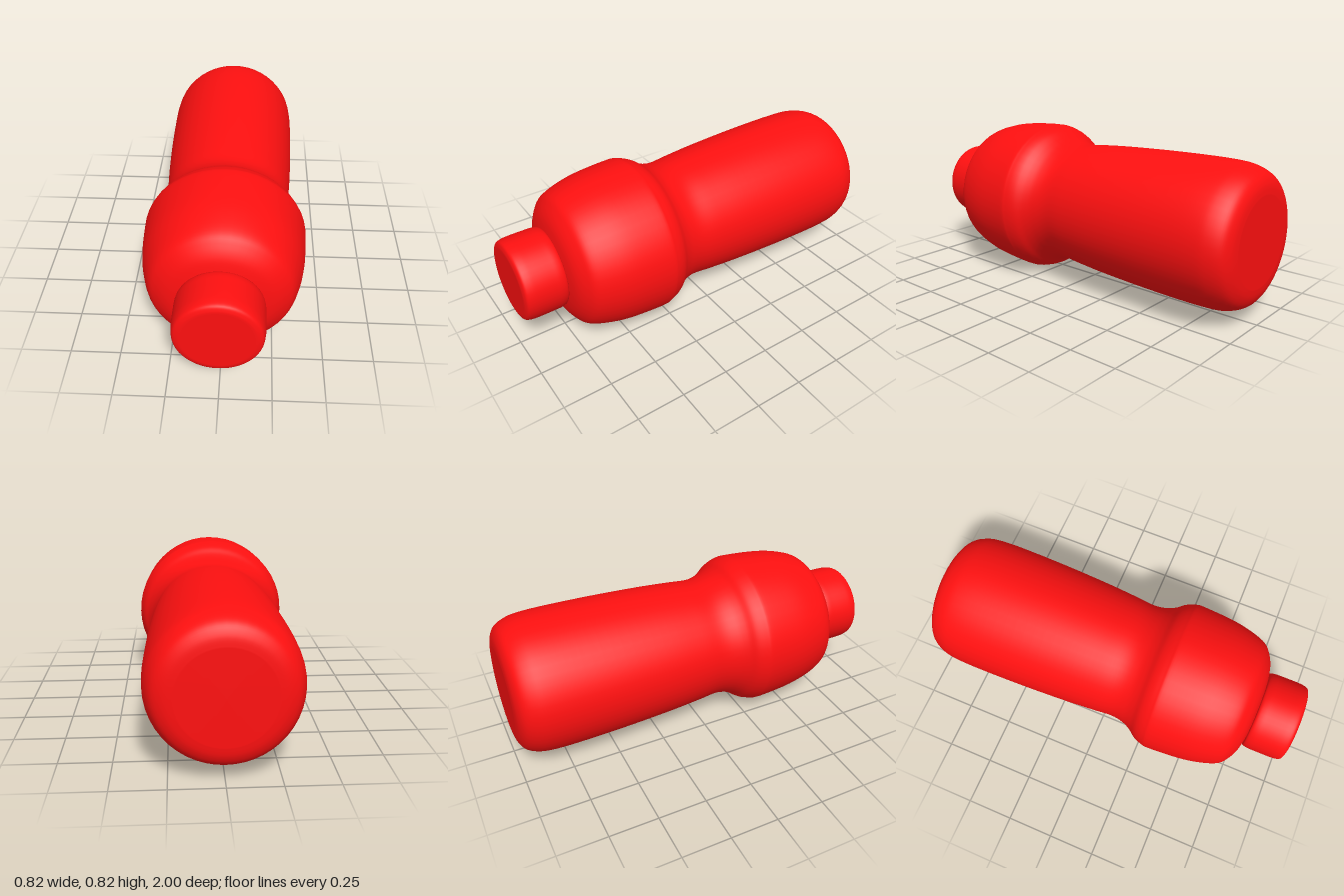
import * as THREE from 'three';

const AXIS_Y = 0.41; // height of the bottle's long axis
const SIDES = 48;

// Turns a smooth [radius, z] outline about the z axis, closing both ends with flat discs
function turned(name, outline, samples, material) {
  const curve = new THREE.SplineCurve(outline.map(([r, z]) => new THREE.Vector2(r, z)));
  const side = curve.getPoints(samples);
  const first = side[0], last = side[side.length - 1];
  const profile = [new THREE.Vector2(0, first.y), ...side, new THREE.Vector2(0, last.y)];
  const geometry = new THREE.LatheGeometry(profile, SIDES);
  geometry.rotateX(Math.PI / 2);
  const mesh = new THREE.Mesh(geometry, material);
  mesh.name = name;
  mesh.position.y = AXIS_Y;
  return mesh;
}

export function createModel() {
  const group = new THREE.Group();
  group.name = 'bottle';
  const red = new THREE.MeshStandardMaterial({ color: 0xff1010 });

  // Body: rounded base at the back, slight waist, bulging shoulder towards the cap
  group.add(turned('body', [
    [0.22, -1], [0.27, -0.992], [0.315, -0.965], [0.343, -0.91], [0.355, -0.84],
    [0.358, -0.7], [0.353, -0.45], [0.342, -0.2], [0.33, -0.03], [0.321, 0.08],
    [0.332, 0.15], [0.355, 0.2], [0.385, 0.24], [0.403, 0.285], [0.408, 0.33],
    [0.396, 0.5], [0.375, 0.61], [0.345, 0.695], [0.305, 0.735], [0.25, 0.765], [0.18, 0.782],
  ], 100, red));

  // Cap: short drum with softened rims
  group.add(turned('cap', [
    [0.185, 0.778], [0.202, 0.785], [0.209, 0.81], [0.21, 0.85], [0.21, 0.92],
    [0.208, 0.96], [0.2, 0.988], [0.18, 0.998], [0.165, 1],
  ], 40, red));

  return group;
}
